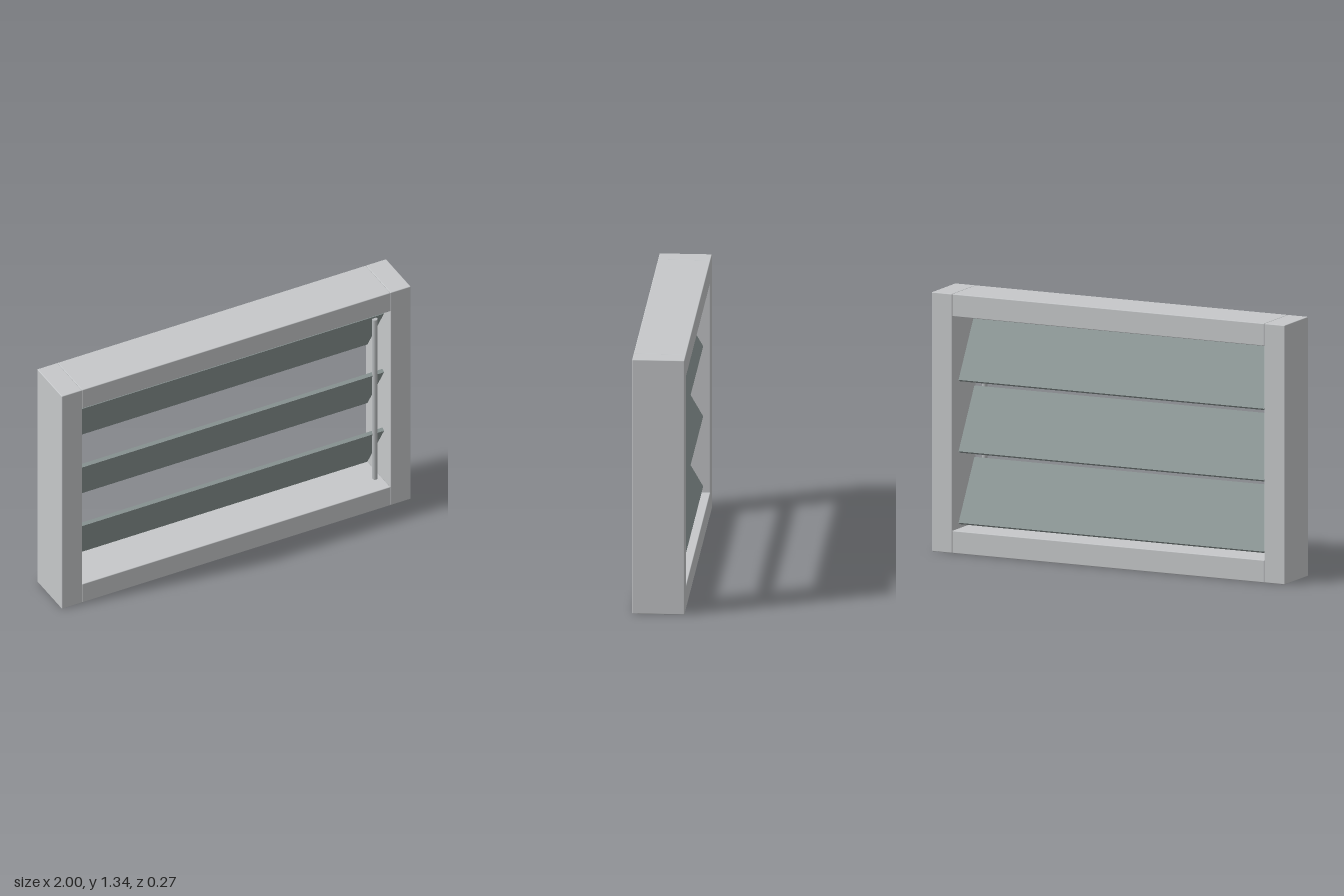
import * as THREE from 'three';
import { RoundedBoxGeometry } from 'three/addons/geometries/RoundedBoxGeometry.js';

const material = (name, color) => {
  const m = new THREE.MeshStandardMaterial({ color });
  m.name = name;
  return m;
};

export function createModel() {
  const frameGray = material('frameGray', 0xc6c8ca);
  const bladeGray = material('bladeGray', 0x8e9998);
  const metalGray = material('metalGray', 0xb8bbbd);

  const W = 2, H = 1.335, D = 0.266, T = 0.116; // overall size and frame bar width
  const model = new THREE.Group();
  model.name = 'louverWindow';

  const add = (parent, name, geometry, mat, x, y, z) => {
    const mesh = new THREE.Mesh(geometry, mat);
    mesh.name = name;
    mesh.position.set(x, y, z);
    parent.add(mesh);
    return mesh;
  };

  // Frame: two full-height stiles with rails between them, edges slightly eased
  const bar = (w, h) => new RoundedBoxGeometry(w, h, D, 2, 0.004);
  for (const [side, s] of [['left', 1], ['right', -1]]) {
    add(model, side + 'Stile', bar(T, H), frameGray, s * (W - T) / 2, H / 2, 0);
  }
  const railLength = W - 2 * T;
  add(model, 'bottomRail', bar(railLength, T), frameGray, 0, T / 2, 0);
  add(model, 'topRail', bar(railLength, T), frameGray, 0, H - T / 2, 0);

  // Tilted blades, top edge leaning forward, each with a pivot pin at its right end
  const bladeGeometry = new THREE.BoxGeometry(1.73, 0.357, 0.02);
  const pinGeometry = new THREE.CylinderGeometry(0.018, 0.018, 0.034, 12).rotateZ(Math.PI / 2);
  [0.302, 0.67, 1.038].forEach((y, i) => {
    const louver = new THREE.Group();
    louver.name = 'louver' + (i + 1);
    louver.position.y = y;
    louver.rotation.x = Math.PI / 6;
    add(louver, 'blade', bladeGeometry, bladeGray, 0, 0, 0);
    add(louver, 'pivotPin', pinGeometry, metalGray, -0.868, 0, 0);
    model.add(louver);
  });

  // Upright rod that links the front edges of the blades
  add(model, 'tiltRod', new THREE.CylinderGeometry(0.014, 0.014, 1, 16), metalGray, 0.814, 0.67, 0.095);

  return model;
}
